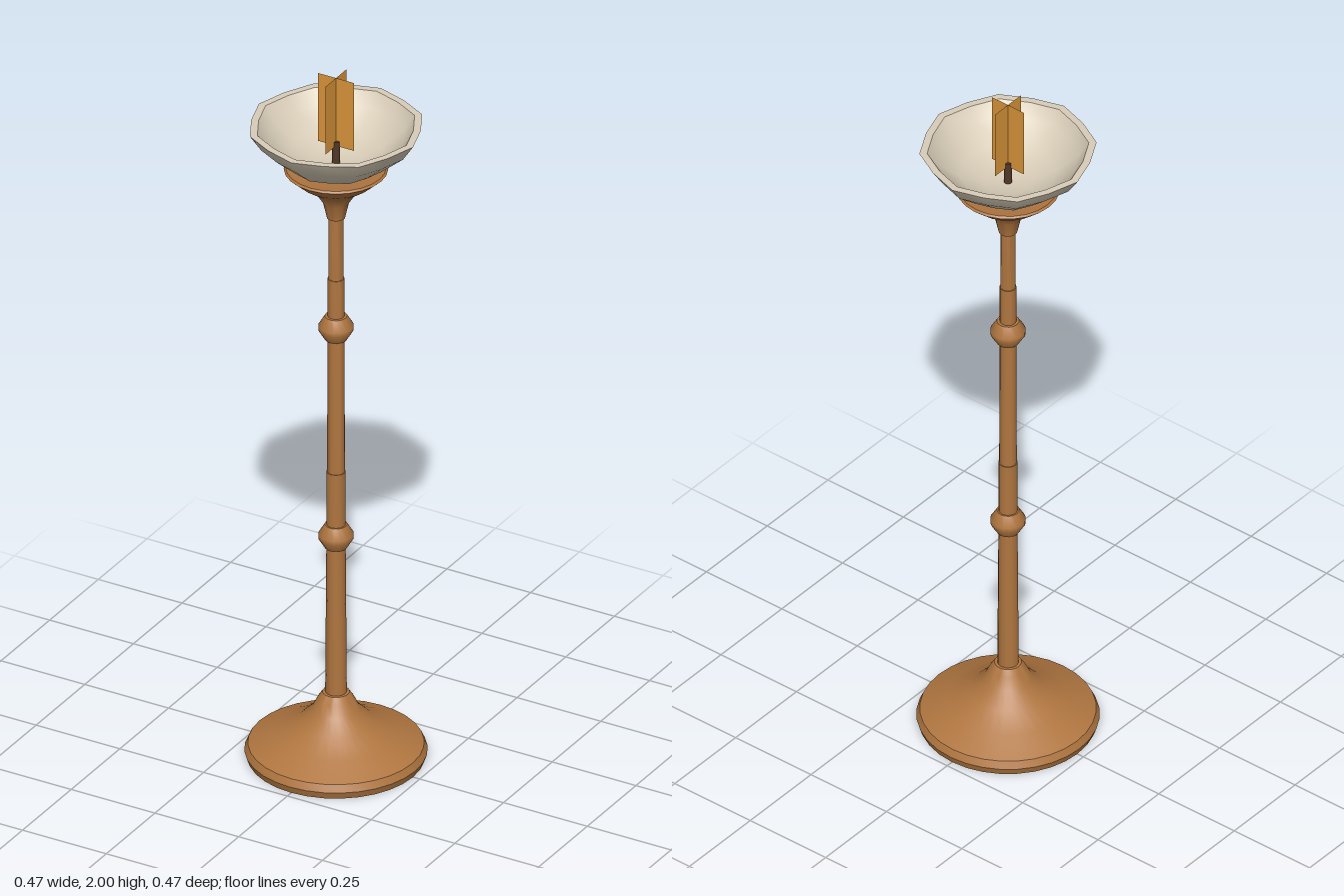
import * as THREE from 'three';
import { toCreasedNormals } from 'three/addons/utils/BufferGeometryUtils.js';

const mat = (name, color, side = THREE.FrontSide) => {
  const m = new THREE.MeshStandardMaterial({ color, side });
  m.name = name;
  return m;
};

// Turned part from [radius, height] pairs, listed from the bottom up on the outside
function turned(name, profile, sides, material, reshape) {
  const lathe = new THREE.LatheGeometry(profile.map(([r, y]) => new THREE.Vector2(r, y)), sides);
  if (reshape) reshape(lathe.attributes.position);
  const mesh = new THREE.Mesh(toCreasedNormals(lathe, 0.7), material);
  mesh.name = name;
  return mesh;
}

export function createModel() {
  const group = new THREE.Group();
  group.name = 'candleStand';
  const wood = mat('turned wood', 0xb07640);
  const clay = mat('pale clay', 0xd8cdb8);
  const flameColor = mat('flame amber', 0xd8943a, THREE.DoubleSide);
  const wickColor = mat('wick brown', 0x523828);

  // Flared foot
  group.add(turned('base', [
    [0, 0], [0.23, 0], [0.237, 0.02], [0.228, 0.04], [0.16, 0.072], [0.1, 0.105],
    [0.062, 0.142], [0.047, 0.172], [0.035, 0.19], [0, 0.19],
  ], 32, wood));

  // Pole, narrowing in steps
  group.add(turned('pole', [
    [0, 0.18], [0.028, 0.18], [0.025, 0.62], [0.025, 0.84], [0.023, 0.84],
    [0.022, 1.24], [0.022, 1.41], [0.02, 1.41], [0.019, 1.61], [0, 1.61],
  ], 12, wood));

  // Two ring knobs
  for (const y of [0.65, 1.265]) {
    group.add(turned('ringKnob', [
      [0.02, y - 0.034], [0.029, y - 0.034], [0.046, y - 0.006], [0.046, y + 0.006],
      [0.029, y + 0.034], [0.02, y + 0.034],
    ], 16, wood));
  }

  // Flared cup under the bowl
  group.add(turned('cup', [
    [0, 1.59], [0.024, 1.59], [0.034, 1.635], [0.055, 1.668], [0.1, 1.7],
    [0.135, 1.732], [0.13, 1.737], [0.08, 1.73], [0, 1.728],
  ], 24, wood));

  // Rounded-octagon bowl: every second corner is pulled in slightly
  const octagon = (p) => {
    for (let i = 0; i < p.count; i++) {
      const angle = Math.atan2(p.getX(i), p.getZ(i));
      const k = Math.round(angle / (Math.PI / 8)) % 2 ? 0.96 : 1;
      p.setXYZ(i, p.getX(i) * k, p.getY(i), p.getZ(i) * k);
    }
  };
  group.add(turned('bowl', [
    [0, 1.727], [0.07, 1.735], [0.135, 1.76], [0.2, 1.815], [0.23, 1.86],
    [0.21, 1.86], [0.185, 1.824], [0.125, 1.777], [0.065, 1.756], [0, 1.75],
  ], 16, clay, octagon));

  // Wick
  const wick = new THREE.Mesh(new THREE.CylinderGeometry(0.011, 0.011, 0.07, 10), wickColor);
  wick.name = 'wick';
  wick.position.y = 1.78;
  group.add(wick);

  // Flame from two crossed sheets
  for (const turn of [0, Math.PI / 2]) {
    const sheet = new THREE.Mesh(new THREE.PlaneGeometry(0.106, 0.2), flameColor);
    sheet.name = 'flameSheet';
    sheet.position.y = 1.9;
    sheet.rotation.y = turn;
    group.add(sheet);
  }
  return group;
}
